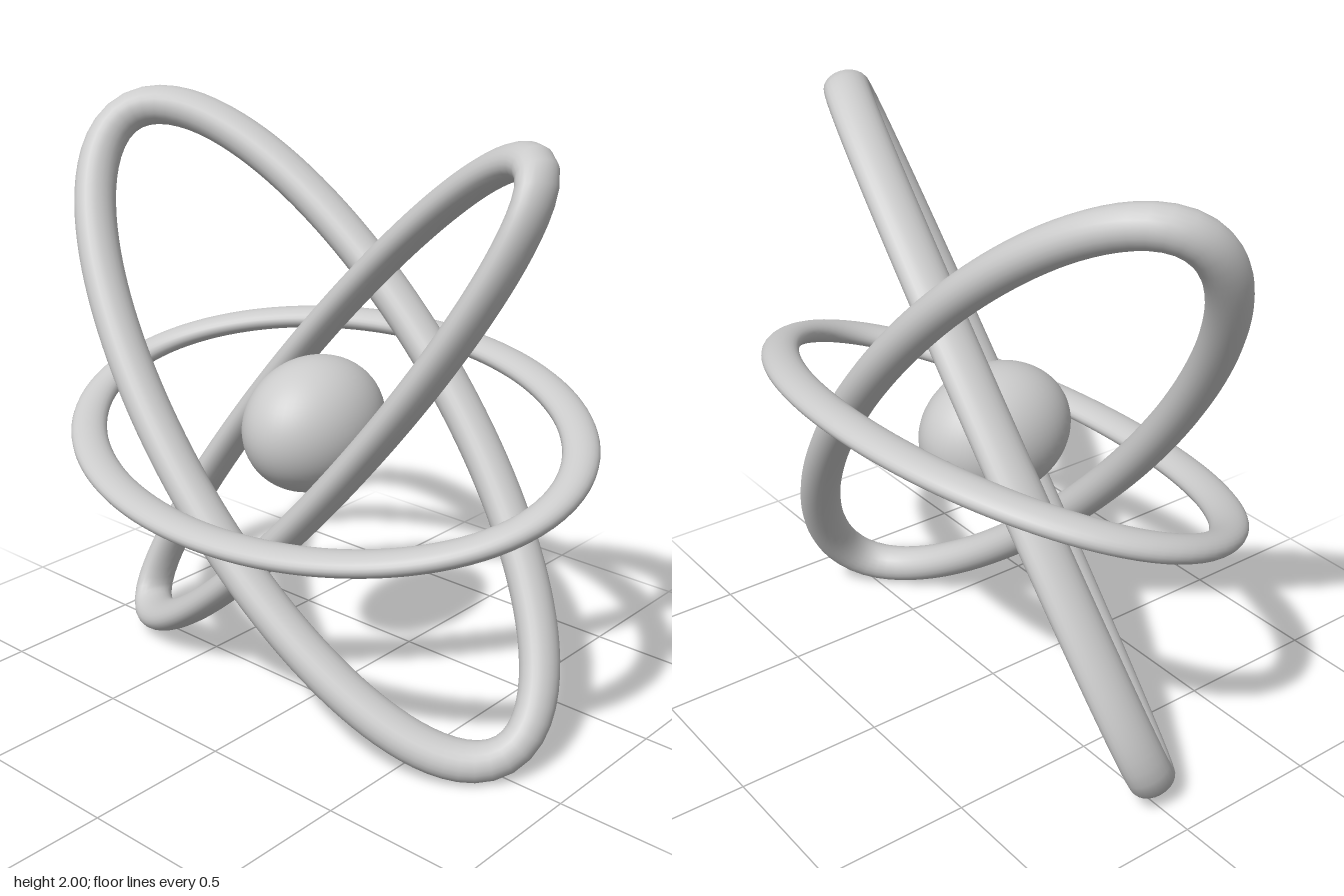
import * as THREE from 'three';

// Closed elliptical orbit: centre + u cos(t) + v sin(t)
class OrbitCurve extends THREE.Curve {
  constructor(u, v) {
    super();
    this.u = u;
    this.v = v;
  }
  getPoint(t, target = new THREE.Vector3()) {
    const a = t * Math.PI * 2;
    return target.set(0, 0, 0)
      .addScaledVector(this.u, Math.cos(a))
      .addScaledVector(this.v, Math.sin(a));
  }
}

export function createModel() {
  const model = new THREE.Group();
  const material = new THREE.MeshStandardMaterial({ color: 0xcccccc });

  // A round tube swept in unscaled space, then stretched so that its
  // thickness along x, y and z follows the given half-widths
  function addOrbit(name, centre, u, v, halfWidths) {
    const s = new THREE.Vector3(...halfWidths);
    const curve = new OrbitCurve(
      new THREE.Vector3(...u).divide(s),
      new THREE.Vector3(...v).divide(s)
    );
    const geometry = new THREE.TubeGeometry(curve, 128, 1, 24, true);
    geometry.scale(s.x, s.y, s.z);
    const mesh = new THREE.Mesh(geometry, material);
    mesh.name = name;
    mesh.position.set(...centre);
    model.add(mesh);
  }

  // Nucleus: slightly stretched ball
  const ball = new THREE.SphereGeometry(1, 48, 32);
  ball.scale(0.203, 0.223, 0.268);
  const nucleus = new THREE.Mesh(ball, material);
  nucleus.name = 'nucleus';
  nucleus.position.set(-0.024, 0.992, -0.008);
  model.add(nucleus);

  // Three orbits: one lying nearly flat, two crossing diagonally
  addOrbit('flatOrbit', [0, 0.99, 0], [0.933, 0, 0], [0, -0.194, 0.565], [0.0525, 0.037, 0.066]);
  addOrbit('wideDiagonalOrbit', [-0.03, 1.0, -0.003], [-0.813, 0.915, 0], [-0.21, -0.18, 0.36], [0.06, 0.065, 0.075]);
  addOrbit('narrowDiagonalOrbit', [-0.02, 1.01, -0.003], [0.82, 0.917, 0], [0.2, -0.18, 0.198], [0.05, 0.055, 0.082]);

  return model;
}
